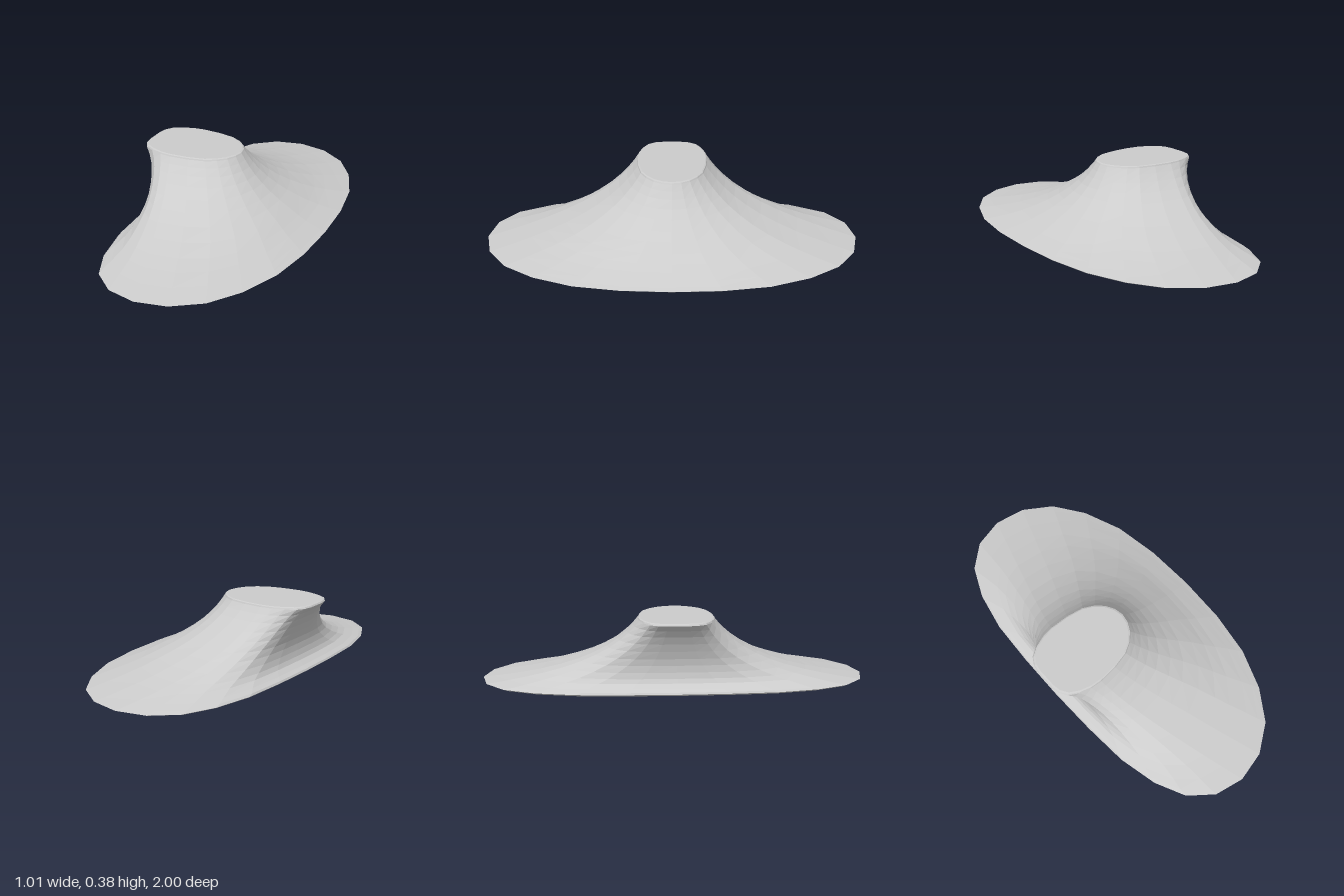
import * as THREE from 'three';

// Normalised x reach at 15 degree steps from the widest z point to the x axis
const baseRight = [0, 0.294, 0.56, 0.761, 0.908, 0.98, 1];
const baseLeft = [0, 0.373, 0.663, 0.843, 0.952, 0.988, 1];
const topRight = [0, 0.31, 0.59, 0.76, 0.89, 0.97, 1];
const topLeft = [0, 0.3, 0.59, 0.84, 0.96, 1, 1];

// Flank levels: height, half depth, right edge x, left edge x
const levels = [
  [0.025, 1.0, 0.503, -0.463],
  [0.034, 0.95, 0.478, -0.458],
  [0.047, 0.88, 0.446, -0.437],
  [0.068, 0.78, 0.395, -0.412],
  [0.09, 0.69, 0.352, -0.402],
  [0.12, 0.59, 0.302, -0.397],
  [0.155, 0.495, 0.243, -0.397],
  [0.19, 0.42, 0.192, -0.403],
  [0.23, 0.35, 0.142, -0.416],
  [0.27, 0.295, 0.101, -0.432],
  [0.31, 0.25, 0.067, -0.453],
  [0.345, 0.217, 0.042, -0.478],
  [0.375, 0.193, 0.023, -0.507],
];
const SEGMENTS = 24;

// One cross-section, blending from the wide base outline to the small top one
function ring([y, depth, right, left], scale = 1, height = y) {
  const t = THREE.MathUtils.clamp((1 - depth) / (1 - 0.193), 0, 1);
  const middle = THREE.MathUtils.lerp(-0.045, -0.3, t);
  const centre = (right + left) / 2;
  const points = [];
  for (let j = 0; j < SEGMENTS; j++) {
    const angle = (j / SEGMENTS) * Math.PI * 2;
    const half = j % 12;
    const step = half <= 6 ? half : 12 - half;
    const onRight = j <= 12;
    const reach = THREE.MathUtils.lerp(
      (onRight ? baseRight : baseLeft)[step], (onRight ? topRight : topLeft)[step], t);
    const x = middle + reach * ((onRight ? right : left) - middle);
    points.push([centre + (x - centre) * scale, height, Math.cos(angle) * depth * scale]);
  }
  return points;
}

// Skin consecutive rings with triangles
function loft(rings) {
  const positions = rings.flat(2);
  const index = [];
  for (let i = 0; i < rings.length - 1; i++) {
    for (let j = 0; j < SEGMENTS; j++) {
      const k = (j + 1) % SEGMENTS;
      const a = i * SEGMENTS + j, b = i * SEGMENTS + k;
      const c = b + SEGMENTS, d = a + SEGMENTS;
      if (i > 0) index.push(a, b, c);
      if (i < rings.length - 2) index.push(a, c, d);
      else if (i === 0) index.push(a, c, d);
    }
  }
  const geometry = new THREE.BufferGeometry();
  geometry.setAttribute('position', new THREE.Float32BufferAttribute(positions, 3));
  geometry.setIndex(index);
  geometry.computeVertexNormals();
  return geometry;
}

export function createModel() {
  const group = new THREE.Group();
  group.name = 'flaredPedestal';
  const base = levels[0];
  const top = levels[levels.length - 1];
  const rings = [
    // gently domed underside
    ring(base, 0, 0.002),
    ring(base, 0.5, 0.005),
    ring(base, 0.85, 0.01),
    ring(base, 0.975, 0.016),
    // concave flank
    ...levels.map((level) => ring(level)),
    // softened top edge and flat cap
    ring(top, 0.985, 0.382),
    ring(top, 0.95, 0.385),
    ring(top, 0, 0.385),
  ];
  const body = new THREE.Mesh(loft(rings),
    new THREE.MeshStandardMaterial({ color: 0xcccccc, flatShading: true }));
  body.name = 'flaredBody';
  group.add(body);
  return group;
}
